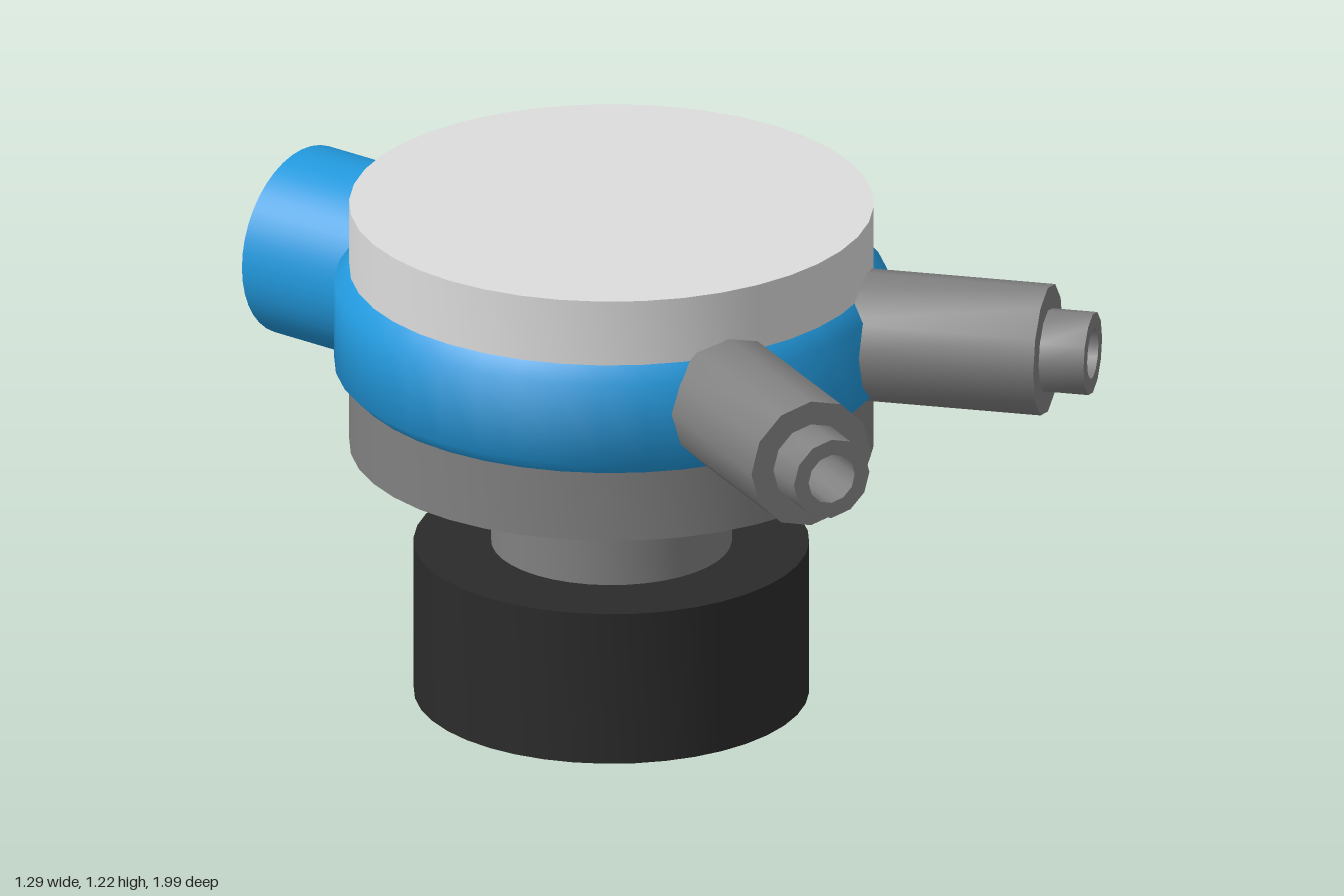
import * as THREE from 'three';
import { toCreasedNormals } from 'three/addons/utils/BufferGeometryUtils.js';

const CENTRE_Z = -0.085;
const PORT_Y = 0.945;

function material(name, color, side = THREE.FrontSide) {
  const m = new THREE.MeshStandardMaterial({ color, side });
  m.name = name;
  return m;
}

// Turned part from [radius, height] points, with sharp corners kept
function turned(name, mat, points, sides = 40) {
  const profile = points.map(([r, y]) => new THREE.Vector2(r, y));
  const geometry = toCreasedNormals(new THREE.LatheGeometry(profile, sides), 0.9);
  const mesh = new THREE.Mesh(geometry, mat);
  mesh.name = name;
  return mesh;
}

// Lays turned parts on their side, pointing outwards at an angle from +z
function radial(name, angle, y, parts) {
  const group = new THREE.Group();
  group.name = name;
  group.rotation.set(Math.PI / 2, angle, 0, 'YXZ');
  group.position.y = y;
  group.add(...parts);
  return group;
}

export function createModel() {
  const light = material('lightGrey', 0xdcdcdc);
  const grey = material('midGrey', 0x808080);
  const blue = material('blue', 0x2299dd);
  const black = material('black', 0x2b2b2b, THREE.DoubleSide);

  const model = new THREE.Group();
  model.name = 'valveBody';
  const body = new THREE.Group();
  body.name = 'body';
  body.position.z = CENTRE_Z;
  model.add(body);

  // Stacked round parts: open base collar, neck and drum
  body.add(
    turned('baseCollar', black, [[0.46, 0], [0.46, 0.375], [0.275, 0.375]]),
    turned('neck', grey, [[0.28, 0.37], [0.28, 0.62]]),
    turned('neckLining', light, [[0.275, 0.62], [0.275, 0.37]]),
    turned('lowerDrum', grey, [[0, 0.62], [0.61, 0.62], [0.61, 0.925]]),
    turned('upperDrum', light, [[0.61, 0.925], [0.61, 1.22], [0, 1.22]]),
    turned('band', blue, [[0.605, 0.785], [0.645, 0.825], [0.645, 1.025], [0.605, 1.065]])
  );

  // Rear outlet pipe with a pale lining and dark bore
  body.add(radial('rearOutlet', Math.PI, 0.9, [
    turned('outletPipe', blue, [[0.225, 0.5], [0.225, 0.915], [0.18, 0.915]]),
    turned('outletLining', light, [[0.18, 0.915], [0.18, 0.65]]),
    turned('outletBore', black, [[0.18, 0.652], [0, 0.652]])
  ]));

  // Mirrored pair of stepped front nozzles
  for (const side of [1, -1]) {
    const nozzle = turned('nozzle', grey, [
      [0.155, 0.5], [0.155, 1.04], [0.098, 1.04], [0.098, 1.147],
      [0.06, 1.147], [0.06, 0.9], [0, 0.9]
    ], 12);
    const name = side > 0 ? 'leftNozzle' : 'rightNozzle';
    body.add(radial(name, side * 0.443, PORT_Y, [nozzle]));
  }

  return model;
}
